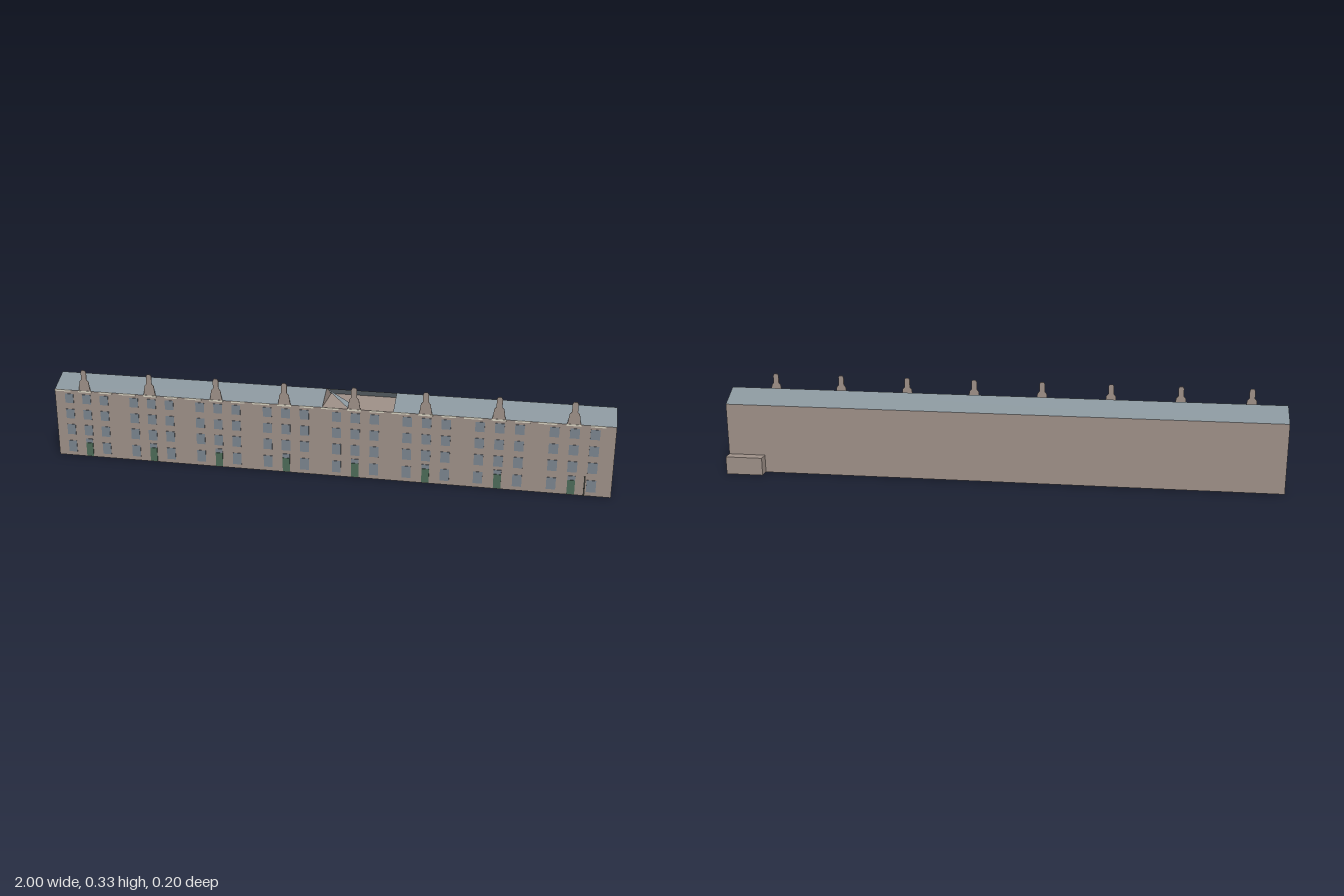
import * as THREE from 'three';

const mat = (name, color, side = THREE.FrontSide) => {
  const m = new THREE.MeshStandardMaterial({ color, side });
  m.name = name;
  return m;
};

export function createModel() {
  const stone = mat('stone', 0x9e9088, THREE.DoubleSide);
  const slate = mat('slate', 0x87939a, THREE.DoubleSide);
  const glass = mat('glass', 0x7a848e);
  const green = mat('door green', 0x4c6b58);
  const cream = mat('cream trim', 0xd6d0bf);
  const iron = mat('dark iron', 0x33332f);
  const group = new THREE.Group();

  const add = (name, geometry, material) => {
    const mesh = new THREE.Mesh(geometry, material);
    mesh.name = name;
    group.add(mesh);
    return mesh;
  };
  // box given by its lower and upper corners
  const box = (name, material, x0, x1, y0, y1, z0, z1) => {
    const g = new THREE.BoxGeometry(x1 - x0, y1 - y0, z1 - z0);
    g.translate((x0 + x1) / 2, (y0 + y1) / 2, (z0 + z1) / 2);
    return add(name, g, material);
  };
  // flat convex polygon, fanned from its first corner
  const polygon = (name, material, points) => {
    const g = new THREE.BufferGeometry();
    const p = [];
    for (let i = 1; i < points.length - 1; i++) p.push(...points[0], ...points[i], ...points[i + 1]);
    g.setAttribute('position', new THREE.Float32BufferAttribute(p, 3));
    g.computeVertexNormals();
    return add(name, g, material);
  };

  const F = 0.096, B = -0.062, EAVE = 0.254, RIDGE = 0.298, RZ = 0.018;

  // walls and rear annex
  box('walls', stone, -1, 1, 0, EAVE, B, F);
  box('rearAnnex', stone, 0.865, 1, 0, 0.065, -0.1, B);

  // roof: full rear slope, front slope open over one house
  polygon('rearRoof', slate, [[-1, EAVE, B], [-1, RIDGE, RZ], [1, RIDGE, RZ], [1, EAVE, B]]);
  for (const [a, b] of [[-1, 0], [0.25, 1]]) {
    polygon('frontRoof', slate, [[a, EAVE, F], [b, EAVE, F], [b, RIDGE, RZ], [a, RIDGE, RZ]]);
  }
  polygon('roofRemnant', slate, [[0, RIDGE, RZ], [0.095, EAVE, F], [0.14, EAVE, F]]);
  for (const x of [-1, 0, 0.25, 1]) {
    polygon('gable', stone, [[x, EAVE, F], [x, EAVE, B], [x, RIDGE, RZ]]);
  }

  // stepped gablet outline, right half from base to top
  const half = [[0.025, 0.25], [0.021, 0.262], [0.017, 0.29], [0.01, 0.298], [0.01, 0.326], [0.006, 0.333]];
  const outline = [...half, ...half.map(([x, y]) => [-x, y]).reverse()];
  const gabletShape = new THREE.Shape(outline.map(([x, y]) => new THREE.Vector2(x, y)));
  const gabletGeometry = new THREE.ExtrudeGeometry(gabletShape, { depth: 0.003, bevelEnabled: false });

  // eight repeated houses
  const rows = [[0.015, 0.058], [0.083, 0.122], [0.145, 0.181], [0.205, 0.24]];
  for (let i = 0; i < 8; i++) {
    const x = -0.878 + i * 0.249;
    add('gablet', gabletGeometry, stone).position.set(x - 0.005, 0, 0.0945);

    rows.forEach(([y0, y1], r) => {
      for (const dx of [-0.067, 0, 0.067]) {
        if (r === 0 && dx === 0) continue;
        box('window', glass, x + dx - 0.016, x + dx + 0.016, y0, y1, F, F + 0.002);
      }
    });
    box('door', green, x - 0.013, x + 0.013, 0.003, 0.054, F, F + 0.003);
    box('fanlight', glass, x - 0.013, x + 0.013, 0.055, 0.07, F, F + 0.003);

    // broken eaves trim
    for (const [a, b] of [[-0.122, -0.06], [-0.03, 0.02], [0.05, 0.1]]) {
      box('eavesTrim', cream, x + a, x + b, 0.249, 0.255, F, F + 0.003);
    }
  }
  box('drainpipe', iron, 0.907, 0.912, 0, 0.07, F, F + 0.003);

  return group;
}
